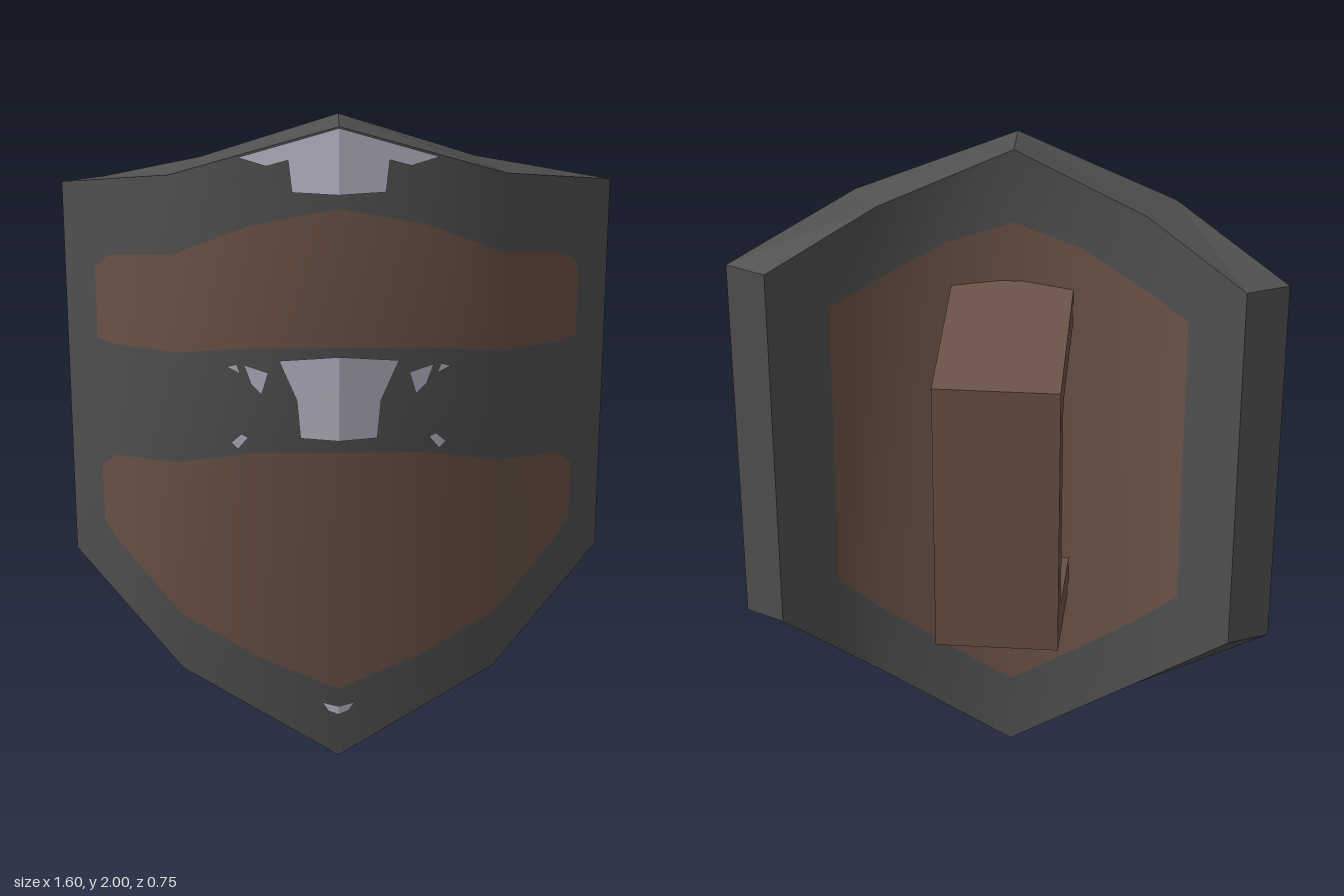
import * as THREE from 'three';

const material = (name, color, double = false) => {
  const m = new THREE.MeshStandardMaterial({ color });
  m.name = name;
  if (double) m.side = THREE.DoubleSide;
  return m;
};
const lerp = THREE.MathUtils.lerp;

// Key columns of each face: x, bottom and top of the outline, depth at bottom, middle and top
const FRONT = [
  { x: 0, b: 0, t: 2, zb: 0.245, zm: 0.375, zt: 0.345 },
  { x: 0.47, b: 0.27, t: 1.84, zb: 0.18, zm: 0.265, zt: 0.25 },
  { x: 0.8, b: 0.56, t: 1.73, zb: -0.07, zm: -0.07, zt: -0.07 },
];
const BACK = [
  { x: 0, b: 0, t: 2, zb: 0.1, zm: 0.22, zt: 0.2 },
  { x: 0.39, b: 0.27, t: 1.85, zb: 0.045, zm: 0.11, zt: 0.1 },
  { x: 0.68, b: 0.56, t: 1.73, zb: -0.128, zm: -0.128, zt: -0.128 },
];
const MID = 0.67;

// Outline and depth of a face at any x
function column(keys, x) {
  const ax = Math.abs(x);
  const i = ax <= keys[1].x ? 0 : 1;
  const f = (ax - keys[i].x) / (keys[i + 1].x - keys[i].x);
  const mix = (k) => lerp(keys[i][k], keys[i + 1][k], f);
  return { b: mix('b'), t: mix('t'), zb: mix('zb'), zm: mix('zm'), zt: mix('zt') };
}

function depth(keys, x, y) {
  const c = column(keys, x);
  const v = (y - c.b) / (c.t - c.b);
  return v < MID ? lerp(c.zb, c.zm, v / MID) : lerp(c.zm, c.zt, (v - MID) / (1 - MID));
}

// Curved face with painted bands; each band column is [x, band edges from the bottom up]
function faceGeometry(keys, bands, flip) {
  const last = bands[bands.length - 1];
  const lc = column(keys, last[0]);
  const edge = keys[2];
  const half = bands.concat([[edge.x,
    ...last.slice(1).map((y) => lerp(edge.b, edge.t, (y - lc.b) / (lc.t - lc.b)))]]);
  const cols = half.slice(1).reverse().map(([x, ...ys]) => [-x, ...ys]).concat(half);
  const rows = last.length + 1;
  const positions = [];
  for (const [x, ...ys] of cols) {
    const c = column(keys, x);
    for (const y of [c.b, ...ys, c.t]) positions.push(x, y, depth(keys, x, y));
  }
  const parts = [[], []];
  for (let i = 0; i < cols.length - 1; i++) {
    const inner = i > 0 && i < cols.length - 2;
    for (let j = 0; j < rows - 1; j++) {
      const a = i * rows + j, b = a + rows, c = b + 1, d = a + 1;
      const tris = i < (cols.length - 1) / 2 ? [a, b, c, a, c, d] : [a, b, d, b, c, d];
      parts[inner && j % 2 === 1 ? 1 : 0].push(...(flip ? tris.reverse() : tris));
    }
  }
  const g = new THREE.BufferGeometry();
  g.setAttribute('position', new THREE.Float32BufferAttribute(positions, 3));
  g.setIndex([...parts[0], ...parts[1]]);
  g.addGroup(0, parts[0].length, 0);
  g.addGroup(parts[0].length, parts[1].length, 1);
  g.computeVertexNormals();
  return g;
}

// Rim joining the front outline to the back outline
function rimGeometry() {
  const loop = (keys) => {
    const right = [...keys.map((k) => [k.x, k.b, k.zb]), ...keys.slice().reverse().map((k) => [k.x, k.t, k.zt])];
    const left = right.slice(1, -1).reverse().map(([x, y, z]) => [-x, y, z]);
    return [...right, ...left];
  };
  const f = loop(FRONT), r = loop(BACK);
  const positions = [];
  f.forEach((p, i) => {
    const n = (i + 1) % f.length;
    for (const q of [p, r[i], r[n], p, r[n], f[n]]) positions.push(...q);
  });
  const g = new THREE.BufferGeometry();
  g.setAttribute('position', new THREE.Float32BufferAttribute(positions, 3));
  g.computeVertexNormals();
  return g;
}

// Thin patch following the front face
function patchGeometry(points, side) {
  const g = new THREE.ShapeGeometry(new THREE.Shape(points.map(([x, y]) => new THREE.Vector2(x * side, y))));
  const p = g.attributes.position;
  for (let i = 0; i < p.count; i++) p.setZ(i, depth(FRONT, p.getX(i), p.getY(i)) + 0.005);
  g.computeVertexNormals();
  return g;
}

export function createModel() {
  const charcoal = material('charcoal metal', 0x505050);
  const brown = material('brown leather', 0x6b5347);
  const silver = material('bare silver', 0xb8b8c8, true);
  const model = new THREE.Group();
  model.name = 'shield';
  const add = (name, geometry, mat) => {
    const mesh = new THREE.Mesh(geometry, mat);
    mesh.name = name;
    model.add(mesh);
  };

  // Front with two brown bands
  add('frontFace', faceGeometry(FRONT, [
    [0, 0.24, 1.04, 1.37, 1.77],
    [0.24, 0.33, 1.02, 1.35, 1.71],
    [0.47, 0.46, 0.97, 1.32, 1.61],
    [0.66, 0.63, 0.92, 1.28, 1.55],
    [0.705, 0.69, 0.87, 1.28, 1.5],
  ], false), [charcoal, brown]);

  // Back with one brown lining panel
  add('backFace', faceGeometry(BACK, [
    [0, 0.22, 1.77],
    [0.2, 0.36, 1.72],
    [0.39, 0.5, 1.62],
    [0.52, 0.65, 1.57],
  ], true), [charcoal, brown]);

  add('rim', rimGeometry(), charcoal);

  // Worn silver patches, mirrored about the centre ridge
  const patches = {
    topPatch: [[0, 1.81], [0.13, 1.81], [0.14, 1.9], [0.2, 1.88], [0.28, 1.9], [0, 1.997]],
    middlePatch: [[0, 1.08], [0.11, 1.08], [0.12, 1.2], [0.17, 1.32], [0, 1.345]],
    upperFleck: [[0.22, 1.21], [0.25, 1.24], [0.27, 1.3], [0.2, 1.28]],
    outerFleck: [[0.28, 1.27], [0.32, 1.29], [0.29, 1.3]],
    lowerFleck: [[0.29, 1.03], [0.31, 1.05], [0.28, 1.08], [0.26, 1.07]],
    tipFleck: [[0, 0.15], [0.03, 0.16], [0.05, 0.19], [0, 0.18]],
  };
  for (const [name, points] of Object.entries(patches)) {
    for (const side of [1, -1]) add(name, patchGeometry(points, side), silver);
  }

  // Handle: bracket profile drawn in depth and height, extruded sideways
  const profile = [[0.19, 1.59], [-0.375, 1.52], [-0.375, 0.67], [0.16, 0.565],
    [0.16, 0.68], [-0.26, 0.755], [-0.26, 1.43], [0.19, 1.48]];
  const handle = new THREE.ExtrudeGeometry(
    new THREE.Shape(profile.map(([z, y]) => new THREE.Vector2(-z, y))),
    { depth: 0.36, bevelEnabled: false });
  handle.translate(0, 0, -0.18).rotateY(Math.PI / 2);
  add('handle', handle, brown);

  return model;
}
